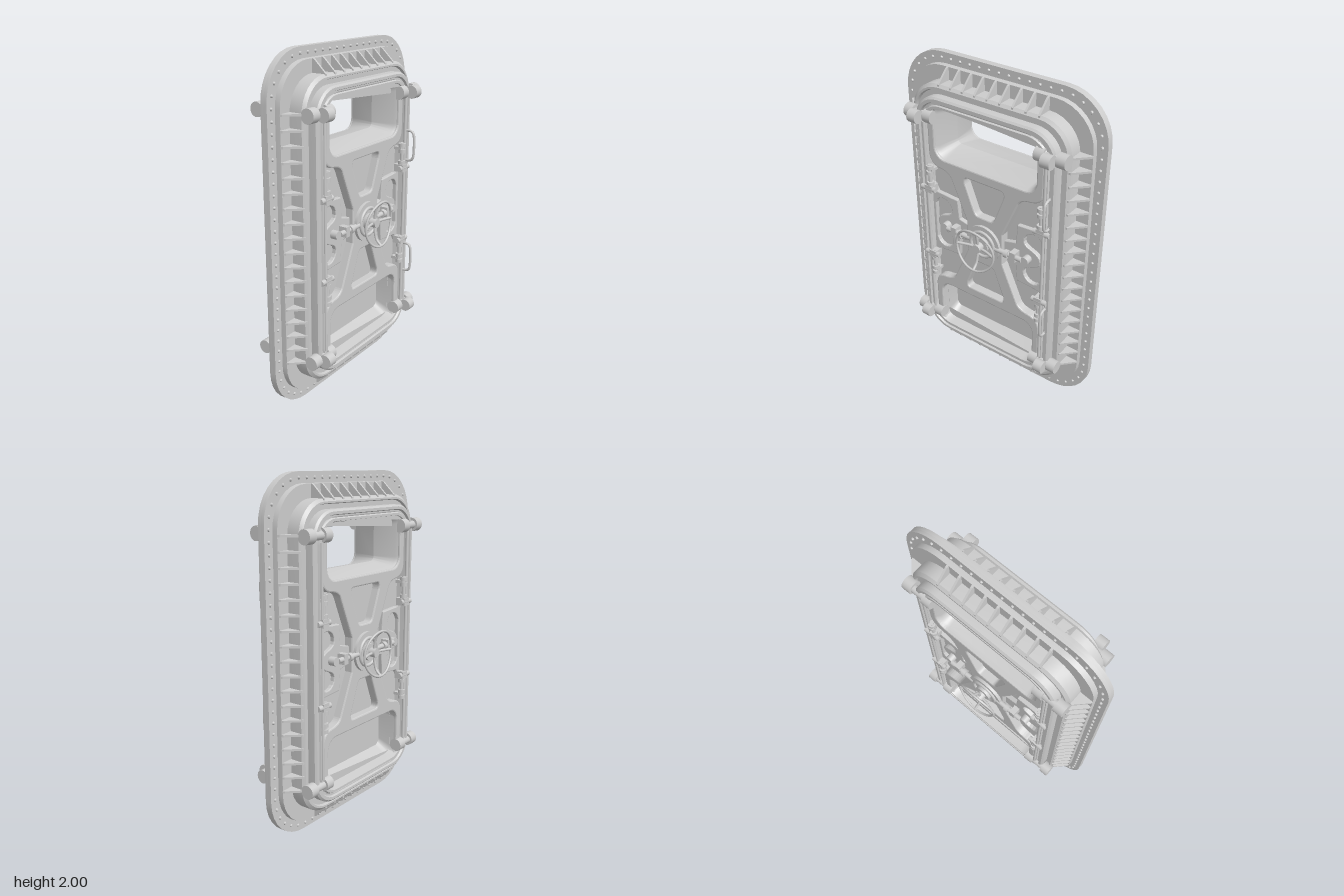
import * as THREE from 'three';
import { mergeGeometries, toCreasedNormals } from 'three/addons/utils/BufferGeometryUtils.js';

const mat = new THREE.MeshStandardMaterial({ color: 0xcccccc, side: THREE.DoubleSide });
const V2 = (x, y) => new THREE.Vector2(x, y);
const V3 = (x, y, z) => new THREE.Vector3(x, y, z);

function add(parent, name, geo, x = 0, y = 0, z = 0) {
  const m = new THREE.Mesh(geo, mat);
  m.name = name;
  m.position.set(x, y, z);
  parent.add(m);
  return m;
}

// Counter-clockwise rounded rectangle outline
function roundRect(hu, hv, r, cv = 0, n = 8) {
  const pts = [];
  [[1, 1], [-1, 1], [-1, -1], [1, -1]].forEach(([su, sv], q) => {
    for (let i = 0; i <= n; i++) {
      const a = (q + i / n) * Math.PI / 2;
      pts.push(V2(su * (hu - r) + r * Math.cos(a), cv + sv * (hv - r) + r * Math.sin(a)));
    }
  });
  return pts;
}

// Skin through rounded rectangles given as [depth, halfWidth, halfHeight, radius, centreHeight]
function loft(sections) {
  const pos = [], idx = [];
  const rings = sections.map(([, hu, hv, r, cv]) => roundRect(hu, hv, r, cv));
  const n = rings[0].length;
  rings.forEach((ring, i) => ring.forEach(p => pos.push(p.x, p.y, sections[i][0])));
  for (let i = 0; i < rings.length - 1; i++) {
    for (let j = 0; j < n; j++) {
      const k = (j + 1) % n, a = i * n + j, b = i * n + k;
      idx.push(a, b, b + n, a, b + n, a + n);
    }
  }
  const g = new THREE.BufferGeometry();
  g.setAttribute('position', new THREE.Float32BufferAttribute(pos, 3));
  g.setIndex(idx);
  return toCreasedNormals(g, 0.45);
}

const plate = (shape, depth, bevel = 0.008) => new THREE.ExtrudeGeometry(shape, {
  depth: depth - bevel, bevelEnabled: true, bevelThickness: bevel, bevelSize: bevel, bevelOffset: -bevel, bevelSegments: 2, curveSegments: 8,
});
const cyl = (r, h, n = 20) => new THREE.CylinderGeometry(r, r, h, n);
const cylU = (r, h, n) => cyl(r, h, n).rotateZ(Math.PI / 2);
const cylW = (r, h, n) => cyl(r, h, n).rotateX(Math.PI / 2);
const box = (a, b, c) => new THREE.BoxGeometry(a, b, c);
const tube = (pts, r, closed = false, n = 24) =>
  new THREE.TubeGeometry(new THREE.CatmullRomCurve3(pts, closed, 'centripetal'), n, r, 8, closed);

// X-shaped web that also borders the two windows
function webShape() {
  const s = new THREE.Shape();
  s.moveTo(0.32, 0.765);
  s.lineTo(-0.32, 0.765);
  s.quadraticCurveTo(-0.385, 0.765, -0.385, 0.69);
  s.lineTo(-0.385, 0.47);
  s.quadraticCurveTo(-0.385, 0.39, -0.31, 0.38);
  s.quadraticCurveTo(-0.24, 0.375, -0.225, 0.33);
  s.lineTo(-0.125, 0.1);
  s.lineTo(-0.125, -0.1);
  s.lineTo(-0.225, -0.33);
  s.quadraticCurveTo(-0.24, -0.375, -0.31, -0.38);
  s.quadraticCurveTo(-0.385, -0.39, -0.385, -0.47);
  s.lineTo(-0.385, -0.69);
  s.quadraticCurveTo(-0.385, -0.765, -0.32, -0.765);
  s.lineTo(0.32, -0.765);
  s.quadraticCurveTo(0.385, -0.765, 0.385, -0.69);
  s.lineTo(0.385, -0.47);
  s.quadraticCurveTo(0.385, -0.39, 0.31, -0.38);
  s.quadraticCurveTo(0.24, -0.375, 0.225, -0.33);
  s.lineTo(0.125, -0.1);
  s.lineTo(0.125, 0.1);
  s.lineTo(0.225, 0.33);
  s.quadraticCurveTo(0.24, 0.375, 0.31, 0.38);
  s.quadraticCurveTo(0.385, 0.39, 0.385, 0.47);
  s.lineTo(0.385, 0.69);
  s.quadraticCurveTo(0.385, 0.765, 0.32, 0.765);
  for (const k of [1, -1]) {
    s.holes.push(new THREE.Path(roundRect(0.34, 0.1625, 0.07, k * 0.6025)));
    const t = new THREE.Path();
    t.moveTo(-0.11, 0.38 * k);
    t.lineTo(0.11, 0.38 * k);
    t.quadraticCurveTo(0.14, 0.38 * k, 0.13, 0.34 * k);
    t.lineTo(0.07, 0.185 * k);
    t.quadraticCurveTo(0.06, 0.16 * k, 0.04, 0.16 * k);
    t.lineTo(-0.04, 0.16 * k);
    t.quadraticCurveTo(-0.06, 0.16 * k, -0.07, 0.185 * k);
    t.lineTo(-0.13, 0.34 * k);
    t.quadraticCurveTo(-0.14, 0.38 * k, -0.11, 0.38 * k);
    s.holes.push(t);
  }
  return s;
}

// Side plate with a bell-shaped cut-out
function sidePlateShape() {
  const s = new THREE.Shape([V2(0.4, 0.27), V2(0.36, 0.2), V2(0.21, 0.19), V2(0.2, 0.07), V2(0.12, 0.05),
    V2(0.12, -0.05), V2(0.2, -0.07), V2(0.21, -0.19), V2(0.36, -0.2), V2(0.4, -0.27)]);
  const bell = new THREE.Path();
  bell.moveTo(0.375, 0.12);
  bell.bezierCurveTo(0.35, 0.2, 0.25, 0.17, 0.255, 0.1);
  bell.bezierCurveTo(0.26, 0.05, 0.36, 0.07, 0.365, 0);
  bell.bezierCurveTo(0.36, -0.07, 0.26, -0.05, 0.255, -0.1);
  bell.bezierCurveTo(0.25, -0.17, 0.35, -0.2, 0.375, -0.12);
  bell.closePath();
  s.holes.push(bell);
  return s;
}

function handWheel() {
  const g = new THREE.Group();
  g.name = 'handWheel';
  const rim = [];
  for (let i = 0; i < 24; i++) {
    const a = i / 24 * Math.PI * 2;
    rim.push(V3(0.13 * Math.cos(a), 0.13 * Math.sin(a), 0.268 - 0.01 * Math.cos(2 * a)));
  }
  add(g, 'wheelRim', tube(rim, 0.007, true, 64));
  for (let i = 0; i < 4; i++) {
    const end = i % 2 ? 0.278 : 0.258;
    add(g, 'wheelSpoke', tube([V3(0.015, 0, 0.23), V3(0.06, 0, 0.236), V3(0.1, 0, 0.248), V3(0.13, 0, end)], 0.008)).rotation.z = i * Math.PI / 2;
  }
  add(g, 'wheelHub', cylW(0.026, 0.05), 0, 0, 0.225);
  add(g, 'wheelShaft', cylW(0.016, 0.1), 0, 0, 0.18);
  return g;
}

// One face of the door: u across, v up, w outward
function doorFace(outer) {
  const g = new THREE.Group();
  const profile = [[0, 0], [0.02, 0], [0.02, 0.06], [0.05, 0.062], [0.05, 0.135], [0.125, 0.135], [0.14, 0.15], [0.14, 0.16],
    [0.125, 0.165], [0.125, 0.19], [0.17, 0.19], [0.18, 0.2], [0.18, 0.215], [0.168, 0.22], [0.168, 0.232], [0.178, 0.237], [0.178, 0.25], [0.12, 0.262]];
  add(g, 'frame', loft(profile.map(([w, d]) => [w, 0.65 - d, 1 - d, 0.26 - d * 0.55, 0])));

  // Recessed panel with window openings
  const panel = new THREE.Shape(roundRect(0.395, 0.745, 0.11));
  for (const k of [1, -1]) panel.holes.push(new THREE.Path(roundRect(0.335, 0.158, 0.065, k * 0.6025)));
  add(g, 'recessedPanel', new THREE.ShapeGeometry(panel), 0, 0, 0.12);
  add(g, 'crossWeb', plate(webShape(), 0.05), 0, 0, 0.12);
  add(g, 'windowTunnel', loft([[0.16, 0.342, 0.165, 0.07, 0.6025], [0.14, 0.33, 0.155, 0.06, 0.6], [0, 0.31, 0.115, 0.03, 0.587]]));
  add(g, 'lowerRecess', loft([[0.16, 0.342, 0.165, 0.07, -0.6025], [0.14, 0.338, 0.16, 0.06, -0.6], [0.04, 0.33, 0.13, 0.04, -0.572]]));
  add(g, 'lowerRecessFloor', new THREE.ShapeGeometry(new THREE.Shape(roundRect(0.33, 0.13, 0.04, -0.572))), 0, 0, 0.04);

  // Triangular stiffeners around the frame
  const tri = new THREE.Shape([V2(-0.01, 0), V2(0.075, 0), V2(0.07, 0.012), V2(0, 0.085), V2(-0.01, 0.085)]);
  for (let side = 0; side < 4; side++) {
    const row = new THREE.Group(), tall = side % 2 === 0;
    const count = tall ? 18 : 9, step = tall ? 0.081 : 0.08;
    row.name = 'stiffenerRow';
    row.rotation.z = side * Math.PI / 2;
    for (let i = 0; i < count; i++) {
      const geo = new THREE.ExtrudeGeometry(tri, { depth: 0.012, bevelEnabled: false }).translate(0, 0, -0.006).rotateX(Math.PI / 2);
      add(row, 'stiffener', geo, tall ? 0.515 : 0.865, (i - (count - 1) / 2) * step, 0.05);
    }
    g.add(row);
  }

  // Rivets around the flange
  const path = new THREE.Shape(roundRect(0.618, 0.968, 0.235));
  path.closePath();
  const rivets = path.getSpacedPoints(94).slice(0, 94).map(p => new THREE.CylinderGeometry(0.006, 0.01, 0.01, 8).rotateX(Math.PI / 2).translate(p.x, p.y, 0.024));
  add(g, 'rivets', mergeGeometries(rivets));

  // Central lock
  add(g, 'lockDisc', cylW(0.115, 0.025, 40), 0, 0, 0.175);
  add(g, 'lockRing', new THREE.TorusGeometry(0.08, 0.01, 8, 40), 0, 0, 0.19);
  add(g, 'lockBoss', cylW(0.05, 0.04, 24), 0, 0, 0.19);
  g.add(handWheel());

  for (const s of [1, -1]) {
    const plateGeo = plate(sidePlateShape(), 0.025, 0.005);
    add(g, 'sidePlate', plateGeo, 0, 0, 0.12).rotation.z = s > 0 ? 0 : Math.PI;
    add(g, 'lockBar', cylU(0.015, 0.19), s * 0.17, 0, 0.18);
    add(g, 'lockBarGuide', box(0.035, 0.06, 0.07), s * 0.21, 0, 0.16);
    add(g, 'lockBarCollar', cylU(0.024, 0.025), s * 0.165, 0, 0.18);
    add(g, 'lockBarPivot', cylW(0.025, 0.06), s * 0.285, 0, 0.155);
    add(g, 'lockRod', cyl(0.009, 1.3, 12), s * 0.4, 0, 0.18);

    for (const t of [1, -1]) {
      // Corner hinge knuckles
      const y = t * 0.685;
      add(g, 'hingeKnuckle', cylU(0.04, 0.055, 24), s * 0.493, y, 0.165);
      add(g, 'hingeKnuckle', cylU(0.04, 0.055, 24), s * 0.363, y, 0.165);
      add(g, 'hingePin', cylU(0.023, 0.16), s * 0.43, y, 0.17);
      if (outer) {
        add(g, 'outerKnuckle', cylU(0.038, 0.056, 24), s * 0.43, y, 0.213);
      }
      // Latch on each quarter of the side
      add(g, 'latchPin', cyl(0.011, 0.18, 12), s * 0.38, t * 0.295, 0.175);
      for (const v of [0.37, 0.335, 0.265]) add(g, 'latchCollar', cyl(0.022, 0.022, 16), s * 0.38, t * v, 0.175);
      add(g, 'latchBlock', box(0.05, 0.045, 0.06), s * 0.385, t * 0.23, 0.165);
      add(g, 'latchKnob', cylU(0.016, 0.1, 14), s * 0.39, t * 0.23, 0.18);
      add(g, 'latchBracket', box(0.05, 0.018, 0.05), s * 0.385, t * 0.352, 0.155);
    }
  }

  // Grab handles on the outer face only
  if (outer) {
    for (const t of [1, -1]) {
      const h = 0.09;
      const pts = [V3(0, -h, 0.165), V3(0, -h, 0.2), V3(0, -h + 0.01, 0.218), V3(0, -h + 0.03, 0.225),
        V3(0, h - 0.03, 0.225), V3(0, h - 0.01, 0.218), V3(0, h, 0.2), V3(0, h, 0.165)];
      add(g, 'grabHandle', tube(pts, 0.008, false, 40), 0.43, t * 0.36, 0);
    }
  }
  return g;
}

export function createModel() {
  const model = new THREE.Group();
  model.name = 'bulkheadDoor';
  for (const s of [1, -1]) {
    const face = doorFace(s > 0);
    face.name = s > 0 ? 'leftFace' : 'rightFace';
    face.rotation.y = s * Math.PI / 2;
    face.position.y = 1;
    model.add(face);
  }
  return model;
}
